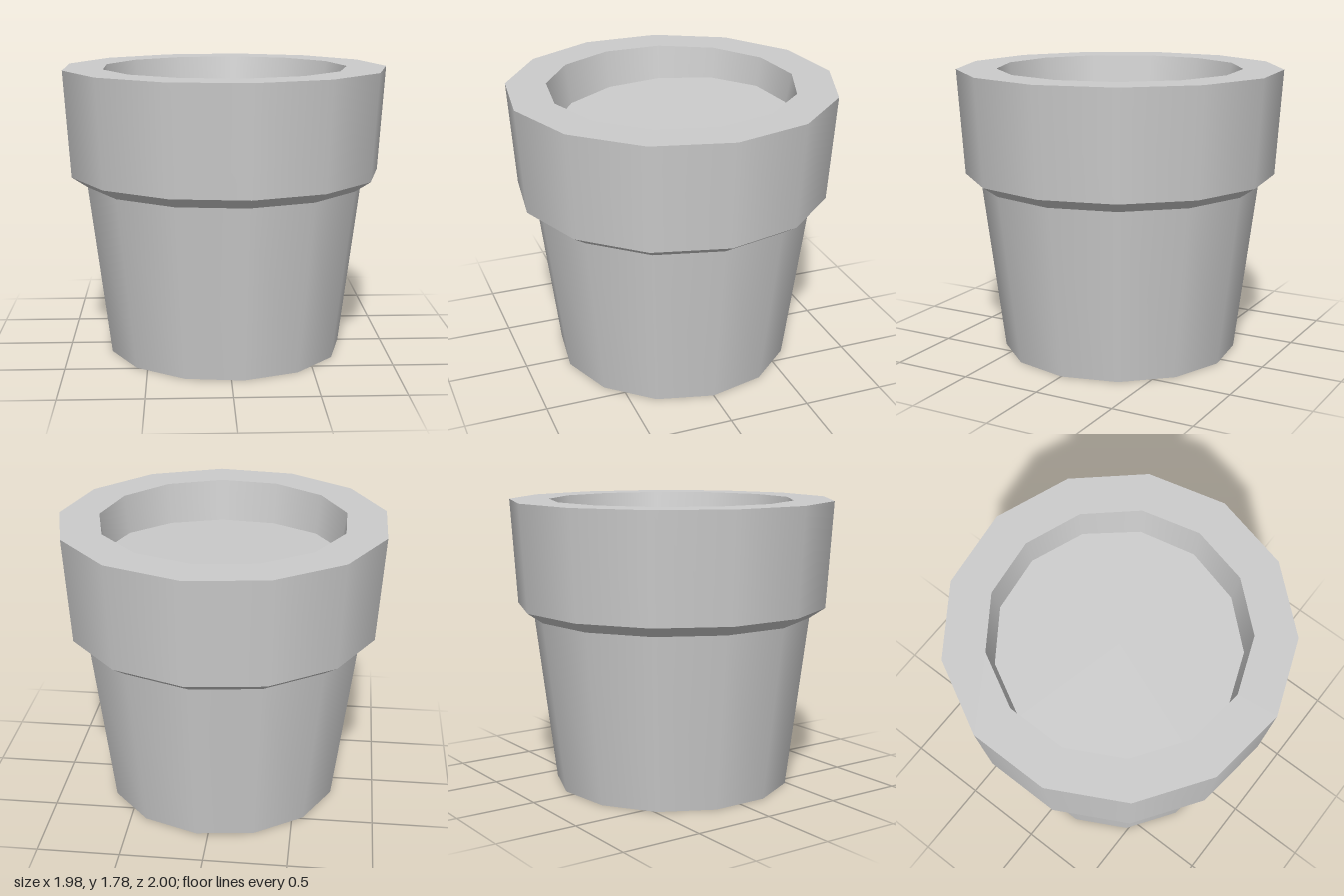
import * as THREE from 'three';

const SIDES = 13;
const FLOOR_Y = 1.557;
const FLOOR_TILT = -0.058; // the soil rises slightly toward the back

// One smooth ring between two [radius, height] points; separate rings keep edges sharp.
// Points running upward face outward, points running inward face up.
function ring(name, from, to, material) {
  const points = [from, to].map(([r, y]) => new THREE.Vector2(r, y));
  const geometry = new THREE.LatheGeometry(points, SIDES, Math.PI / 2);
  const mesh = new THREE.Mesh(geometry, material);
  mesh.name = name;
  return mesh;
}

// Tilts every vertex lying at soil level
function tiltSoilLevel(geometry) {
  const p = geometry.attributes.position;
  for (let i = 0; i < p.count; i++) {
    if (Math.abs(p.getY(i) - FLOOR_Y) < 1e-4) p.setY(i, FLOOR_Y + FLOOR_TILT * p.getZ(i));
  }
}

export function createModel() {
  const group = new THREE.Group();
  group.name = 'flowerPot';
  const material = new THREE.MeshStandardMaterial({ color: 0xcccccc });

  // Outer shell, from the base up and over the rim
  const base = ring('base', [0, 0], [0.737, 0], material);
  const body = ring('body', [0.737, 0], [0.869, 1.065], material);
  const lip = ring('collarUnderside', [0.869, 1.065], [0.966, 1.13], material);
  const collar = ring('collar', [0.966, 1.13], [1.007, 1.78], material);
  const rim = ring('rim', [1.007, 1.78], [0.76, 1.78], material);

  // Inside wall and soil, meeting along the tilted soil line
  const innerWall = ring('innerWall', [0.76, 1.78], [0.727, FLOOR_Y], material);
  const soil = ring('soil', [0.727, FLOOR_Y], [0, FLOOR_Y], material);
  tiltSoilLevel(innerWall.geometry);
  tiltSoilLevel(soil.geometry);
  soil.geometry.computeVertexNormals();

  group.add(base, body, lip, collar, rim, innerWall, soil);
  // An odd number of sides is wider toward +x, so shift to centre the bounds
  for (const part of group.children) part.position.x = -0.0147;
  return group;
}
